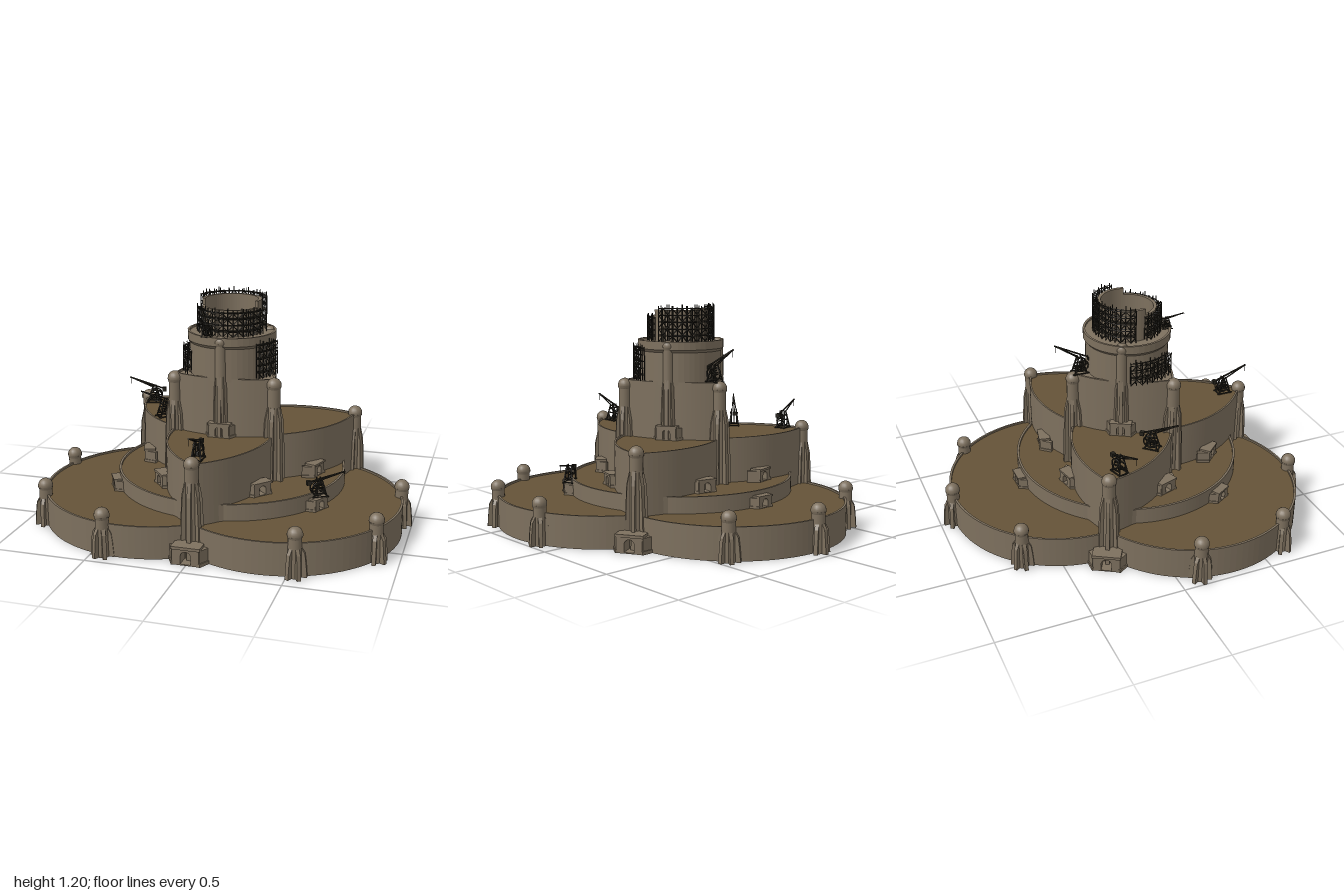
import * as THREE from 'three';
import { mergeGeometries } from 'three/addons/utils/BufferGeometryUtils.js';

const CZ = 0.1;                 // tower axis sits at x = 0, z = CZ
const N = 180;                  // samples around each outline
const RAD = Math.PI / 180;
const LOBE = 0.62, OFFSET = 0.4;

const mat = (color, flat = true) => new THREE.MeshStandardMaterial({ color, flatShading: flat, side: THREE.DoubleSide });
const stone = mat(0x7d705e), smoothStone = mat(0x7d705e, false), earth = mat(0x655338), timber = mat(0x25221b);

function add(parent, name, geo, material, x = 0, y = 0, z = 0) {
  const m = new THREE.Mesh(geo, material);
  m.name = name;
  m.position.set(x, y, z);
  parent.add(m);
  return m;
}

// Outlines as radius by angle: three overlapping circles, sorted by reach
const reach = (t) => [-90, 30, 150].map((a) => {
  const d = t - a * RAD;
  return OFFSET * Math.cos(d) + Math.sqrt(LOBE ** 2 - (OFFSET * Math.sin(d)) ** 2);
}).sort((a, b) => a - b);
const trefoil = (t) => reach(t)[2];
const blades = (t) => reach(t)[1];
const core = (t) => reach(t)[0];
const crescents = (t) => Math.max(LOBE, blades(t));
const circle = (r) => () => r;

// Surface swept between two outlines at two heights
function band(rA, yA, rB, yB) {
  const pos = [], idx = [];
  for (let i = 0; i <= N; i++) {
    const t = (i / N) * Math.PI * 2;
    for (const [r, y] of [[rA(t), yA], [rB(t), yB]]) pos.push(Math.cos(t) * r, y, Math.sin(t) * r + CZ);
    if (i < N) idx.push(2 * i, 2 * i + 1, 2 * i + 2, 2 * i + 1, 2 * i + 3, 2 * i + 2);
  }
  const g = new THREE.BufferGeometry();
  g.setAttribute('position', new THREE.Float32BufferAttribute(pos, 3));
  g.setIndex(idx);
  g.computeVertexNormals();
  return g;
}

// One hollow terrace: wall, thin parapet, floor reaching in to the next wall
function terrace(parent, name, outer, inner, y0, y1, floorMat) {
  const lip = (t) => Math.max(inner(t), outer(t) - 0.012), yf = y1 - 0.01;
  add(parent, name + 'Wall', mergeGeometries([band(outer, y0, outer, y1), band(outer, y1, lip, y1), band(lip, y1, lip, yf)]), stone);
  add(parent, name + 'Floor', band(lip, yf, inner, yf), floorMat);
}

// Domed turret with tapering fins round its foot
function turret(parent, name, x, z, y0, y1, finTop, r = 0.034, spread = 0.062) {
  const g = new THREE.Group();
  g.name = name;
  g.position.set(x, y0, z);
  g.rotation.y = -Math.atan2(z - CZ, x);
  const h = y1 - y0, f = finTop - y0, dome = r * 1.16;
  add(g, 'shaft', new THREE.CylinderGeometry(r, r * 1.1, h - dome, 16), smoothStone, 0, (h - dome) / 2);
  add(g, 'cornice', new THREE.CylinderGeometry(dome, r, 0.014, 16), stone, 0, h - dome - 0.012);
  add(g, 'dome', new THREE.SphereGeometry(dome, 16, 8, 0, Math.PI * 2, 0, Math.PI * 0.6), smoothStone, 0, h - dome);
  const profile = [[0, 0], [spread, 0], [spread * 0.9, f * 0.5], [spread * 0.8, f * 0.82], [r, f], [0, f]];
  const fin = new THREE.ExtrudeGeometry(new THREE.Shape(profile.map((p) => new THREE.Vector2(...p))), { depth: 0.02, bevelEnabled: false });
  fin.translate(0, 0, -0.01);
  for (let i = 0; i < 6; i++) add(g, 'fin', fin, stone).rotation.y = i * Math.PI / 3;
  parent.add(g);
}

// Arched gatehouse with splayed side piers, facing along (dx, dz)
function gate(parent, x, z, y, dx, dz, s = 1) {
  const g = new THREE.Group();
  g.name = 'gatehouse';
  const shape = new THREE.Shape([[-0.045, 0], [0.045, 0], [0.045, 0.062], [-0.045, 0.062]].map((p) => new THREE.Vector2(...p)));
  const arch = new THREE.Path();
  arch.moveTo(-0.018, 0.004).lineTo(0.018, 0.004).lineTo(0.018, 0.03).absarc(0, 0.03, 0.018, 0, Math.PI, false);
  shape.holes.push(arch);
  add(g, 'arch', new THREE.ExtrudeGeometry(shape, { depth: 0.05, bevelEnabled: false, curveSegments: 6 }), stone, 0, 0, -0.025);
  add(g, 'lintel', new THREE.BoxGeometry(0.1, 0.01, 0.058), stone, 0, 0.06, 0);
  for (const k of [-1, 1]) {
    add(g, 'pier', new THREE.BoxGeometry(0.018, 0.055, 0.06), stone, k * 0.054, 0.0275, -0.008).rotation.y = -k * 0.5;
    add(g, 'pierFoot', new THREE.BoxGeometry(0.024, 0.012, 0.066), stone, k * 0.054, 0.006, -0.006).rotation.y = -k * 0.5;
  }
  g.position.set(x, y, z);
  g.rotation.y = Math.atan2(dx, dz);
  g.scale.setScalar(s);
  parent.add(g);
}

// Square timber between two points
function bar(a, b, t) {
  const A = new THREE.Vector3(...a), d = new THREE.Vector3(...b).sub(A);
  const g = new THREE.BoxGeometry(t, d.length(), t);
  g.applyQuaternion(new THREE.Quaternion().setFromUnitVectors(new THREE.Vector3(0, 1, 0), d.clone().normalize()));
  return g.translate(...A.addScaledVector(d, 0.5));
}

// Curved scaffold: two rows of posts, rails, ties, diagonals and a deck
function scaffold(parent, r0, r1, a0, a1, bays, y0, y1, rows) {
  const bars = [], step = (a1 - a0) / bays, dy = (y1 - y0) / rows, t = 0.0038;
  const P = (r, i, y) => [r * Math.cos((a0 + i * step) * RAD), y, CZ + r * Math.sin((a0 + i * step) * RAD)];
  for (let i = 0; i <= bays; i++) {
    for (const r of [r0, r1]) bars.push(bar(P(r, i, y0), P(r, i, y1 + (i % 3) * 0.008), t));
    for (let j = 1; j <= rows; j++) {
      const y = y0 + j * dy - 0.006;
      bars.push(bar(P(r0, i, y), P(r1, i, y), t));
      if (i === bays) continue;
      for (const r of [r0, r1]) bars.push(bar(P(r, i, y), P(r, i + 1, y), t));
      const k = (i + j) % 2;
      bars.push(bar(P(r1, i + k, y - dy + 0.006), P(r1, i + 1 - k, y), t));
    }
  }
  const g = new THREE.Group();
  g.name = 'scaffold';
  add(g, 'scaffoldBars', mergeGeometries(bars), timber);
  const deck = new THREE.RingGeometry(r0, r1, bays, 1, a0 * RAD, (a1 - a0) * RAD).rotateX(Math.PI / 2);
  for (let j = 1; j < rows; j += 2) add(g, 'scaffoldDeck', deck, timber, 0, y0 + j * dy, CZ);
  parent.add(g);
}

// Timber crane with a tread wheel; the jib points along (dx, dz)
function crane(parent, x, y, z, dx, dz, lift = 0.15, s = 1) {
  const bars = [], t = 0.006;
  for (const k of [-1, 1]) {
    for (const q of [-1, 1]) bars.push(bar([q * 0.035, 0, k * 0.026], [q * 0.008, 0.1, k * 0.012], t));
    for (const h of [0.02, 0.05, 0.075]) bars.push(bar([-0.03 + h * 0.24, h, k * 0.021], [0.03 - h * 0.24, h, k * 0.021], t));
    bars.push(bar([-0.045, 0.004, k * 0.026], [0.045, 0.004, k * 0.026], t));
    bars.push(bar([0, 0.09, k * 0.012], [0.14, lift, 0], 0.005));
    bars.push(bar([k * 0.035, 0.004, -0.03], [k * 0.035, 0.004, 0.03], t));
    const wheel = new THREE.TorusGeometry(0.034, 0.004, 5, 16).toNonIndexed().translate(-0.01, 0.045, k * 0.016);
    bars.push(...[wheel]);
  }
  for (let i = 0; i < 4; i++) {
    const c = 0.034 * Math.cos(i * Math.PI / 4), n = 0.034 * Math.sin(i * Math.PI / 4);
    bars.push(bar([-0.01 - c, 0.045 - n, 0], [-0.01 + c, 0.045 + n, 0], 0.005));
  }
  bars.push(bar([-0.06, 0.08, 0], [0.14, lift, 0], 0.007), bar([0.135, lift, 0], [0.135, lift - 0.04, 0], 0.002));
  bars.push(new THREE.BoxGeometry(0.022, 0.022, 0.022).translate(-0.058, 0.078, 0));
  const m = add(parent, 'crane', mergeGeometries(bars.map((b) => (b.index ? b.toNonIndexed() : b))), timber, x, y, z);
  m.rotation.y = Math.atan2(-dz, dx);
  m.scale.setScalar(s);
}

// Part of the unfinished ring wall
function arcWall(parent, r0, r1, a0, a1, y0, y1) {
  const s = new THREE.Shape();
  s.absarc(0, 0, r1, a0 * RAD, a1 * RAD, false).absarc(0, 0, r0, a1 * RAD, a0 * RAD, true);
  const g = new THREE.ExtrudeGeometry(s, { depth: y1 - y0, bevelEnabled: false, curveSegments: 20 });
  add(parent, 'topRingWall', g.rotateX(Math.PI / 2), stone, 0, y1, CZ);
}

export function createModel() {
  const root = new THREE.Group();
  root.name = 'terracedTower';

  // Stacked terraces
  terrace(root, 'base', trefoil, crescents, 0, 0.172, earth);
  terrace(root, 'crescent', crescents, blades, 0.162, 0.25, earth);
  terrace(root, 'blade', blades, core, 0.24, 0.485, earth);
  terrace(root, 'core', core, (t) => Math.min(core(t), 0.225), 0.475, 0.787, stone);

  // Round tower and its unfinished top
  const drum = [[0.225, 0.77], [0.225, 0.945], [0.237, 0.96], [0.237, 1.005], [0.225, 1.005], [0.225, 0.995], [0.135, 0.995]];
  add(root, 'drum', new THREE.LatheGeometry(drum.map((p) => new THREE.Vector2(...p)), 48), stone, 0, 0, CZ);
  add(root, 'topFloor', new THREE.CircleGeometry(0.137, 32).rotateX(-Math.PI / 2), stone, 0, 1.0, CZ);
  arcWall(root, 0.14, 0.158, 15, 165, 0.99, 1.135);
  arcWall(root, 0.14, 0.158, 165, 375, 0.99, 1.17);
  scaffold(root, 0.162, 0.184, 12, 168, 18, 1.0, 1.13, 4);
  scaffold(root, 0.162, 0.184, 188, 352, 19, 1.0, 1.185, 5);
  scaffold(root, 0.238, 0.262, 8, 42, 6, 0.787, 0.97, 5);
  scaffold(root, 0.238, 0.262, 138, 198, 9, 0.787, 0.91, 3);

  // Outer turrets
  for (const [x, z] of [[0, -0.92], [-0.49, -0.69], [0.44, -0.735], [-0.94, 0.115], [0.94, 0.125],
    [-0.88, 0.62], [0.88, 0.61], [-0.435, 0.915], [0.535, 0.885]]) turret(root, 'outerTurret', x, z, 0, 0.255, 0.15);

  // Everything repeated three times round the axis
  for (const a of [90, 210, 330]) {
    const at = (deg, r) => [r * Math.cos(deg * RAD), CZ + r * Math.sin(deg * RAD)];
    const dir = (deg) => [Math.cos(deg * RAD), Math.sin(deg * RAD)];
    turret(root, 'cuspTurret', ...at(a, 0.712), 0, 0.525, 0.4);
    turret(root, 'innerTurret', ...at(a + 60, 0.314), 0.24, 0.795, 0.64);
    turret(root, 'drumTurret', ...at(a, 0.212), 0.48, 1.012, 0.8, 0.029, 0.042);
    const put = (deg, r, y, face, s) => { const [x, z] = at(deg, r); gate(root, x, z, y, ...dir(face), s); };
    put(a, 0.785, 0, a, 1.5);
    put(a, 0.225, 0.475, a, 1.2);
    put(a + 60, 0.635, 0.163, a + 60, 1);
    for (const k of [-1, 1]) put(a + k * 33.5, 0.472, 0.24, a + k * 48, 1.1);
  }

  // Cranes
  crane(root, -0.55, 0.478, -0.17, -1, 0.27);
  crane(root, -0.4, 0.478, 0.08, -0.68, 0.73, 0.165);
  crane(root, 0.55, 0.225, 0.4, 0.85, -0.53, 0.12);
  crane(root, 0, 0.478, 0.71, 0, 1);
  crane(root, 0, 0.785, -0.175, 0, -1, 0.185);
  crane(root, -0.08, 1.0, 0.3, -0.3, 1, 0.13, 0.65);
  return root;
}
